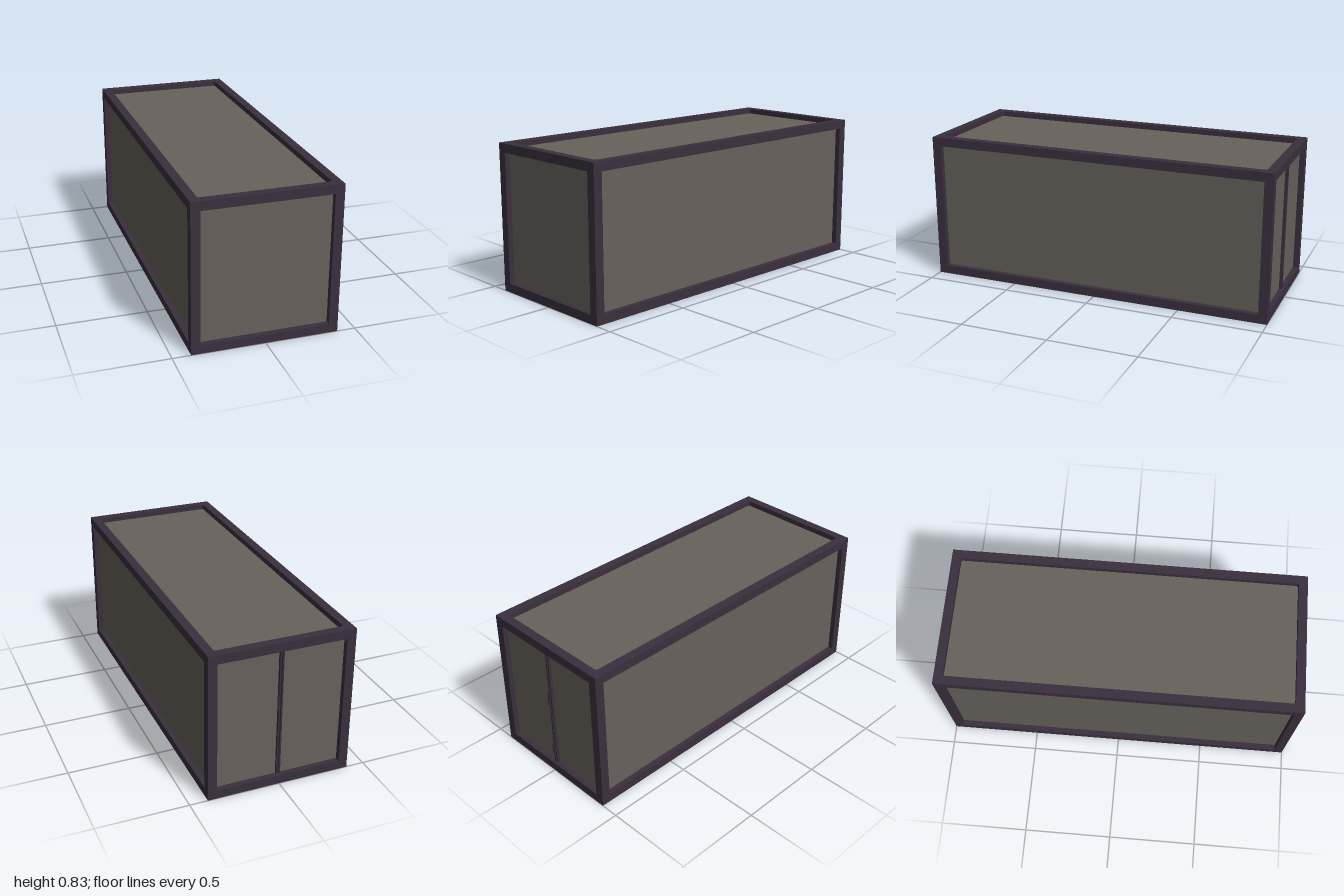
import * as THREE from 'three';

export function createModel() {
  const group = new THREE.Group();
  const frame = new THREE.MeshStandardMaterial({ color: 0x3a2f3e });
  frame.name = 'dark frame';
  const panel = new THREE.MeshStandardMaterial({ color: 0x67615b });
  panel.name = 'grey panel';

  const W = 0.8, H = 0.833, L = 2, T = 0.05, R = 0.03; // size, beam thickness, panel recess

  function box(name, w, h, d, x, y, z, mat) {
    const mesh = new THREE.Mesh(new THREE.BoxGeometry(w, h, d), mat);
    mesh.name = name;
    mesh.position.set(x, y, z);
    group.add(mesh);
  }

  // Solid underside slab and four corner posts
  box('floor', W, T, L, 0, T / 2, 0, frame);
  for (const sx of [-1, 1])
    for (const sz of [-1, 1])
      box('cornerPost', T, H - 2 * T, T, sx * (W - T) / 2, H / 2, sz * (L - T) / 2, frame);

  // Top ring with slightly rounded inner corners
  const a = W / 2, b = L / 2, i = a - T, j = b - T, r = 0.012;
  const ring = new THREE.Shape([[-a, -b], [a, -b], [a, b], [-a, b]].map(p => new THREE.Vector2(...p)));
  const hole = new THREE.Path();
  hole.absarc(i - r, j - r, r, 0, Math.PI / 2);
  hole.absarc(-i + r, j - r, r, Math.PI / 2, Math.PI);
  hole.absarc(-i + r, -j + r, r, Math.PI, Math.PI * 1.5);
  hole.absarc(i - r, -j + r, r, Math.PI * 1.5, Math.PI * 2);
  ring.holes.push(hole);
  const ringGeo = new THREE.ExtrudeGeometry(ring, { depth: T, bevelEnabled: false, curveSegments: 4 });
  ringGeo.rotateX(-Math.PI / 2);
  const topFrame = new THREE.Mesh(ringGeo, frame);
  topFrame.name = 'topFrame';
  topFrame.position.y = H - T;
  group.add(topFrame);

  // Recessed panels: roof, sides, front wall and two rear doors
  const t = 0.015, ph = H - 2 * T;
  box('roofPanel', W - 2 * T, t, L - 2 * T, 0, H - R - t / 2, 0, panel);
  for (const s of [-1, 1])
    box('sidePanel', t, ph, L - 2 * T, s * (W / 2 - R - t / 2), H / 2, 0, panel);
  box('frontPanel', W - 2 * T, ph, t, 0, H / 2, L / 2 - R - t / 2, panel);
  const doorW = W / 2 - T - 0.002;
  for (const s of [-1, 1])
    box('rearDoor', doorW, ph, t, s * (0.002 + doorW / 2), H / 2, -L / 2 + R + t / 2, panel);

  // Closing strips along the meeting edges of the doors
  for (const s of [-1, 1])
    box('doorStrip', 0.008, ph, 0.016, s * 0.007, H / 2, -L / 2 + R - 0.008, frame);
  box('doorSeam', 0.022, ph, 0.006, 0, H / 2, -L / 2 + R - 0.002, frame);

  // Handle and latch on the door seam
  box('doorHandle', 0.008, 0.08, 0.008, 0.012, 0.48, -L / 2 + R - 0.016, frame);
  box('doorLatch', 0.008, 0.06, 0.008, 0.012, 0.14, -L / 2 + R - 0.016, frame);

  return group;
}
